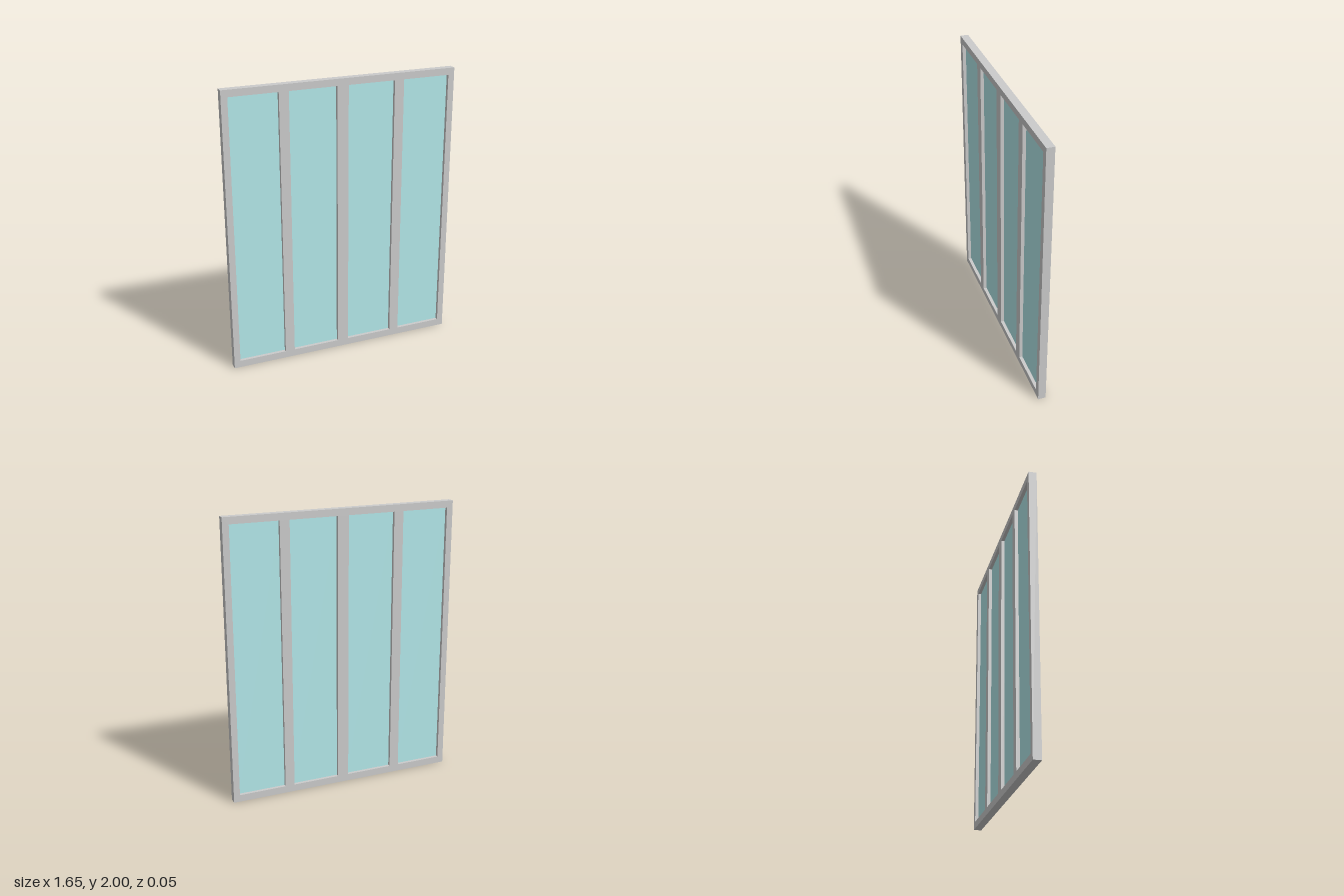
import * as THREE from 'three';

const HALF_W = 0.827, HEIGHT = 2, DEPTH = 0.055;
const BOTTOM = 0.05, TOP = 1.952;
// Left and right edge of each opening
const OPENINGS = [[-0.783, -0.445], [-0.377, -0.04], [0.04, 0.377], [0.445, 0.783]];

function rectangle(path, x0, y0, x1, y1) {
  path.moveTo(x0, y0);
  path.lineTo(x1, y0);
  path.lineTo(x1, y1);
  path.lineTo(x0, y1);
  path.closePath();
  return path;
}

export function createModel() {
  const model = new THREE.Group();
  model.name = 'window';
  const frameMaterial = new THREE.MeshStandardMaterial({ color: 0xcccccc });
  const glassMaterial = new THREE.MeshStandardMaterial({ color: 0xb3e8ea });

  // Frame and mullions in one piece, with four tall openings
  const outline = rectangle(new THREE.Shape(), -HALF_W, 0, HALF_W, HEIGHT);
  for (const [x0, x1] of OPENINGS) {
    outline.holes.push(rectangle(new THREE.Path(), x0, BOTTOM, x1, TOP));
  }
  const frameGeometry = new THREE.ExtrudeGeometry(outline, { depth: DEPTH, bevelEnabled: false });
  frameGeometry.translate(0, 0, -DEPTH / 2);
  const frame = new THREE.Mesh(frameGeometry, frameMaterial);
  frame.name = 'frame';
  model.add(frame);

  // Thin glass panes set midway through the frame
  OPENINGS.forEach(([x0, x1], i) => {
    const pane = new THREE.Mesh(new THREE.BoxGeometry(x1 - x0, TOP - BOTTOM, 0.008), glassMaterial);
    pane.position.set((x0 + x1) / 2, (BOTTOM + TOP) / 2, 0);
    pane.name = `glassPane${i + 1}`;
    model.add(pane);
  });

  return model;
}
